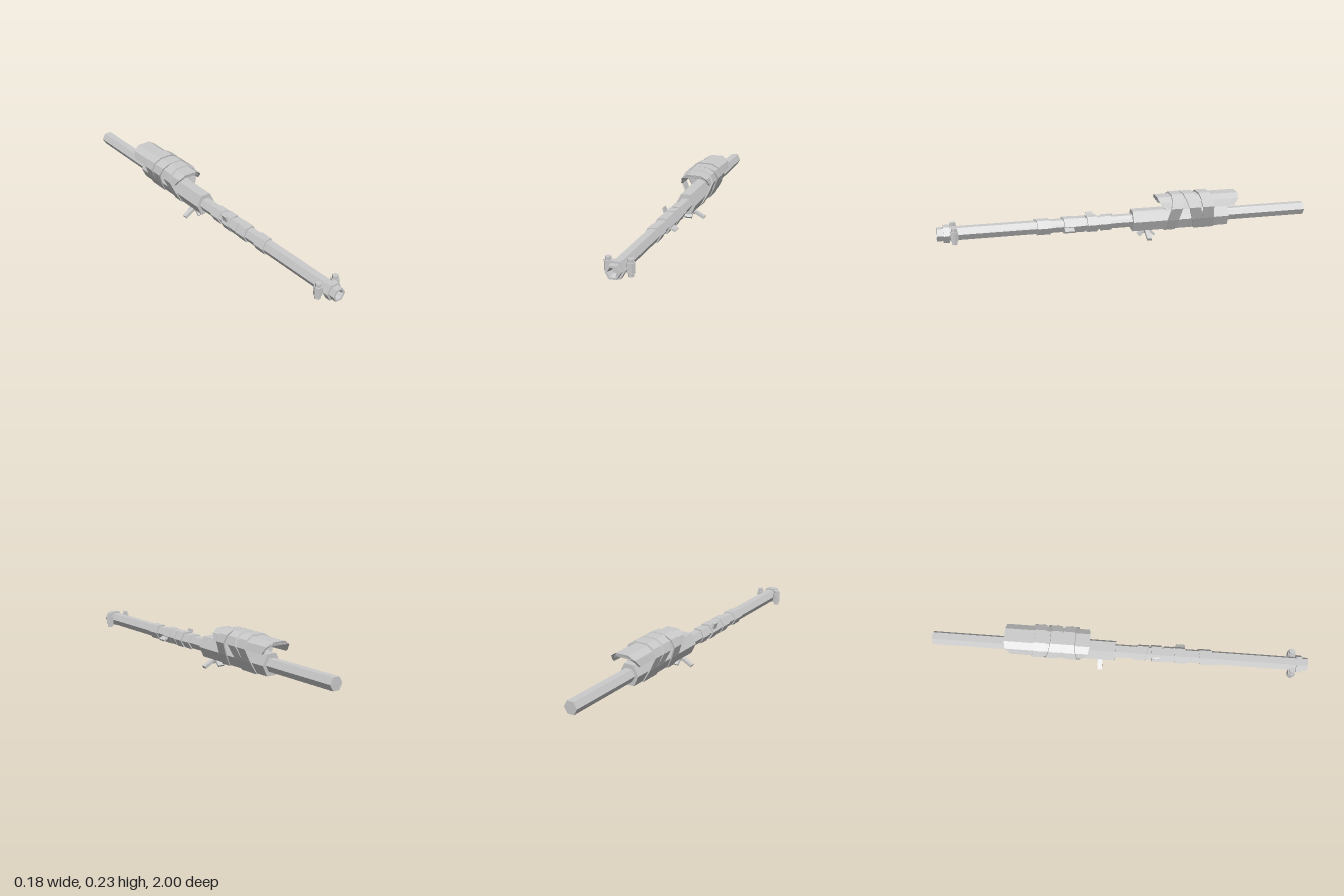
import * as THREE from 'three';

const AXIS_Y = 0.1; // height of the tube axis

export function createModel() {
  const model = new THREE.Group();
  const mat = new THREE.MeshStandardMaterial({ color: 0xcccccc, flatShading: true });

  const add = (name, geo, x = 0, y = 0, z = 0) => {
    const mesh = new THREE.Mesh(geo, mat);
    mesh.name = name;
    mesh.position.set(x, y, z);
    model.add(mesh);
    return mesh;
  };

  // Moves every vertex of a geometry by a rule
  const warp = (geo, rule) => {
    const p = geo.attributes.position, v = new THREE.Vector3();
    for (let i = 0; i < p.count; i++) {
      rule(v.fromBufferAttribute(p, i));
      p.setXYZ(i, v.x, v.y, v.z);
    }
    geo.computeVertexNormals();
    return geo;
  };

  // Hexagonal prism along z, with corners at the left and right
  const hexBar = (r, length) =>
    new THREE.CylinderGeometry(r, r, length, 6, 1, false, Math.PI / 6).rotateX(Math.PI / 2);

  // Left-right symmetric polygon from its +x half
  const mirrored = (half) =>
    [...half, ...[...half].reverse().map(([x, y]) => [-x, y])].map(([x, y]) => new THREE.Vector2(x, y));

  const extrude = (shape, depth) =>
    new THREE.ExtrudeGeometry(shape, { depth, bevelEnabled: false }).translate(0, 0, -depth / 2);

  // Main tube with a hollow, tapering mouth
  const profile = [[0, -1], [0.037, -1], [0.037, 1], [0.026, 1], [0, 0.92]].map(([r, l]) => new THREE.Vector2(r, l));
  add('mainTube', new THREE.LatheGeometry(profile, 6, Math.PI / 6).rotateX(Math.PI / 2), 0, AXIS_Y, 0);

  // Muzzle collar and the two upright canisters beside it
  add('muzzleCollar', hexBar(0.048, 0.03), 0, AXIS_Y, 0.953);
  for (const s of [1, -1]) {
    const side = s > 0 ? 'left' : 'right';
    add(side + 'Canister', new THREE.CylinderGeometry(0.016, 0.016, 0.084, 6, 1, false, Math.PI / 6), s * 0.054, AXIS_Y, 0.915);
    add(side + 'CanisterSleeve', new THREE.CylinderGeometry(0.022, 0.022, 0.048, 6, 1, false, Math.PI / 6), s * 0.054, AXIS_Y, 0.915);
  }

  // Slanted cloth wraps around the front of the tube: z, length, radius, slant
  const wraps = [
    [0.46, 0.07, 0.044, -0.2],
    [0.322, 0.062, 0.046, -0.15],
    [0.262, 0.058, 0.044, 0.1],
    [0.2, 0.055, 0.047, -0.1],
    [0.12, 0.06, 0.044, 0.25],
  ];
  for (const [z, length, r, slant] of wraps) {
    add('gripWrap', warp(hexBar(r, length), (v) => { v.z += slant * v.x; }), 0, AXIS_Y, z);
  }

  // Loose ends of the wraps
  const lowEnd = add('looseWrapEnd', new THREE.BoxGeometry(0.04, 0.01, 0.05), 0.048, 0.088, 0.325);
  lowEnd.rotation.z = -0.5;
  const highEnd = add('looseWrapEnd', new THREE.BoxGeometry(0.01, 0.035, 0.035), -0.04, 0.133, 0.2);
  highEnd.rotation.z = 0.3;

  // Hexagonal housing behind the middle
  add('housing', hexBar(0.055, 0.53).scale(1, 1.155, 1), 0, AXIS_Y, -0.285);

  // Arched shield over the housing, its ends raked inward toward the lower edges
  const arch = new THREE.Shape([
    ...mirrored([[0.083, 0.165], [0.07, 0.202], [0.036, 0.224]]),
    ...mirrored([[0.073, 0.163], [0.062, 0.188], [0.036, 0.205]]).reverse(),
  ]);
  add('shield', warp(extrude(arch, 0.45), (v) => {
    const t = THREE.MathUtils.clamp((0.21 - v.y) / 0.045, 0, 1);
    v.z *= 1 - 0.156 * t;
  }), 0, 0, -0.378);

  // Straps that bind the shield to the housing: z at the top, slant
  const loop = [[0.03, 0.04], [0.063, 0.1], [0.092, 0.17], [0.075, 0.212], [0.036, 0.235]];
  const inner = loop.map(([x, y]) => [x * 0.91, 0.137 + (y - 0.137) * 0.91]);
  for (const [z, slant] of [[-0.262, -0.2], [-0.327, 0.32], [-0.412, 0.15]]) {
    const band = new THREE.Shape(mirrored(loop));
    band.holes.push(new THREE.Path(mirrored(inner).reverse()));
    add('strap', warp(extrude(band, 0.062), (v) => { v.z += slant * (v.y - 0.235); }), 0, 0, z);
  }

  // Handle under the housing: hub, front and rear prongs, two side bars
  add('handleHub', new THREE.CylinderGeometry(0.035, 0.024, 0.03, 6), 0, 0.043, -0.1);
  for (const s of [1, -1]) {
    const prong = add('handleProng', new THREE.BoxGeometry(0.042, 0.012, 0.04), 0, 0.028, -0.1 + s * 0.028);
    prong.rotation.x = s * 0.75;
    const bar = add('handleBar', new THREE.BoxGeometry(0.065, 0.015, 0.025), s * 0.052, 0.025, -0.1);
    bar.rotation.z = -s * 0.5;
  }

  return model;
}
